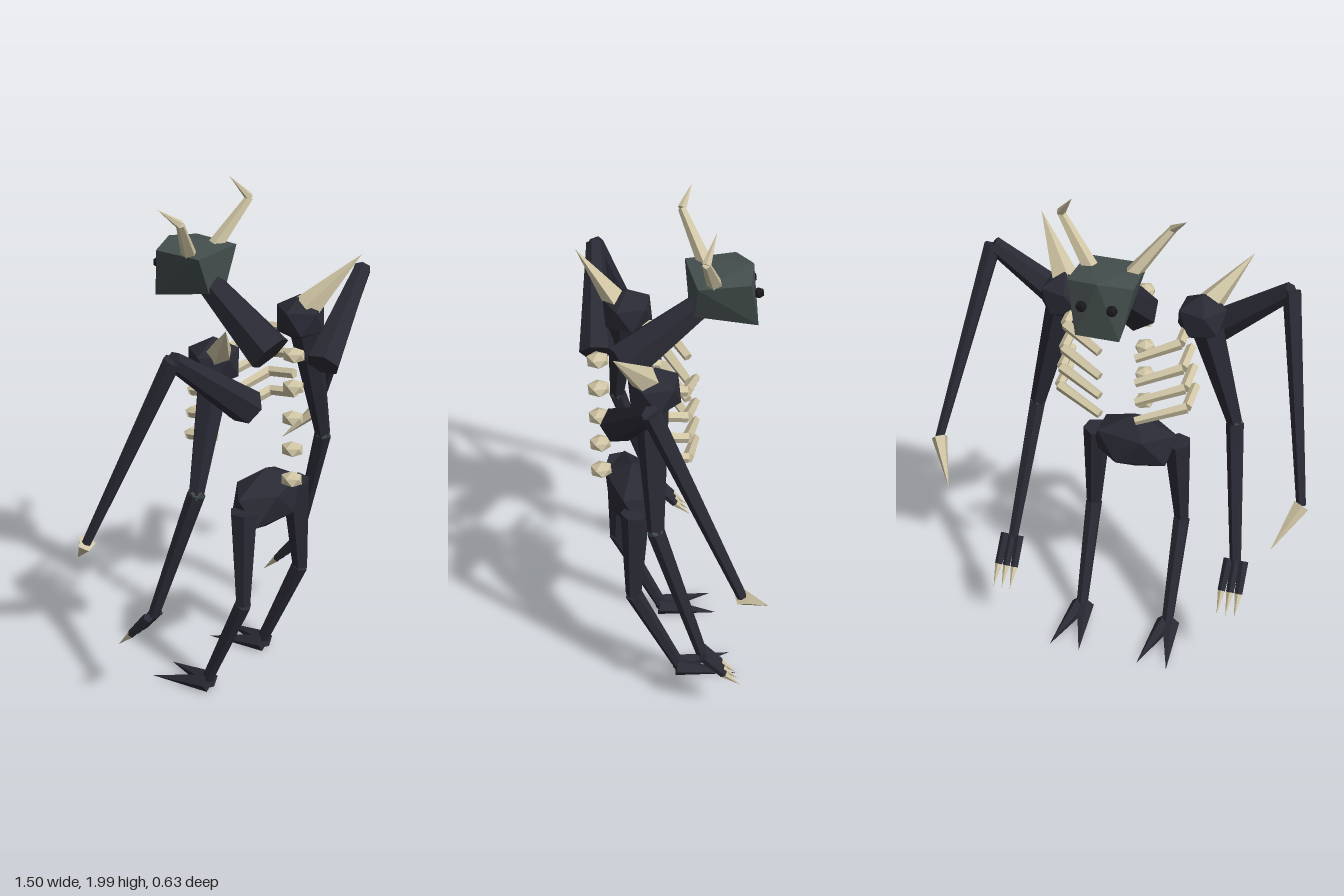
import * as THREE from 'three';
import { ConvexGeometry } from 'three/addons/geometries/ConvexGeometry.js';

const mat = (name, color) => {
  const m = new THREE.MeshStandardMaterial({ color, flatShading: true });
  m.name = name;
  return m;
};

export function createModel() {
  const hide = mat('dark hide', 0x2a2a35);
  const skull = mat('grey green skull', 0x444f4d);
  const bone = mat('bone', 0xcfc4a4);
  const black = mat('eye black', 0x19181d);
  const model = new THREE.Group();
  const V = (p) => new THREE.Vector3(...p);
  const Y = new THREE.Vector3(0, 1, 0);

  const add = (name, geo, material, parent = model) => {
    const mesh = new THREE.Mesh(geo, material);
    mesh.name = name;
    parent.add(mesh);
    return mesh;
  };
  // Tapered segment between two points; r1 = 0 gives a spike
  const limb = (name, a, b, r0, r1, material, parent, sides = 6) => {
    const from = V(a), dir = V(b).sub(from), len = dir.length();
    const geo = new THREE.CylinderGeometry(r1, r0, len, sides);
    geo.translate(0, len / 2, 0);
    const mesh = add(name, geo, material, parent);
    mesh.position.copy(from);
    mesh.quaternion.setFromUnitVectors(Y, dir.normalize());
    return mesh;
  };
  // Icosahedron with a vertex at the top, stretched per axis
  const knob = (name, p, r, material, parent) => {
    const geo = new THREE.IcosahedronGeometry(1, 0);
    geo.rotateZ(Math.atan(2 / (1 + Math.sqrt(5))));
    geo.scale(...r);
    const mesh = add(name, geo, material, parent);
    mesh.position.set(...p);
    return mesh;
  };
  const group = (name) => {
    const g = new THREE.Group();
    g.name = name;
    model.add(g);
    return g;
  };

  // Pelvis, floating spine and neck
  knob('pelvis', [0, 0.83, 0.165], [0.192, 0.125, 0.112], hide);
  const spine = group('spine');
  for (let i = 0; i < 5; i++) {
    knob('vertebra', [0, 0.942 + i * 0.1245, 0.283], [0.042, 0.031, 0.045], bone, spine);
  }
  limb('neck', [0, 1.42, 0.18], [0, 1.63, -0.1], 0.085, 0.05, hide);

  // Head: wide brow, narrow jaw
  const headPoints = [[0, 1.775, -0.287]];
  for (const s of [-1, 1]) {
    headPoints.push([s * 0.112, 1.757, -0.06], [s * 0.12, 1.757, -0.25],
      [s * 0.05, 1.61, -0.062], [s * 0.08, 1.565, -0.29]);
  }
  add('head', new ConvexGeometry(headPoints.map(V)), skull);

  for (const s of [-1, 1]) {
    const side = s > 0 ? 'left' : 'right';

    knob(side + 'Eye', [s * 0.055, 1.685, -0.293], [0.022, 0.022, 0.022], black);

    // Horn with a bent tip
    const horn = group(side + 'Horn');
    const bend = [s * 0.203, 1.91, -0.068];
    limb('hornBase', [s * 0.075, 1.745, -0.13], bend, 0.03, 0.015, bone, horn, 5);
    limb('hornTip', bend, [s * 0.205 - 0.06, s > 0 ? 1.995 : 1.97, -0.117], 0.017, 0, bone, horn, 5);

    // Shoulder and its spike
    knob(side + 'Shoulder', [s * 0.265, 1.465, 0.125], [0.102, 0.095, 0.105], hide);
    limb(side + 'ShoulderSpike', [s * 0.27, s > 0 ? 1.51 : 1.49, 0.15],
      [s * 0.413, s > 0 ? 1.71 : 1.665, 0.293], 0.055, 0, bone, model, 5);

    // Ribs: a side piece and a front piece each
    const ribs = group(side + 'Ribs');
    [1.415, 1.31, 1.225, 1.142].forEach((y, i) => {
      const x = 0.22 + i * 0.01;
      const joint = [s * x, y, 0];
      limb('ribSide', [s * x, y + 0.02, 0.12], joint, 0.02, 0.02, bone, ribs, 5);
      limb('ribFront', joint, [s * 0.068, y - 0.055, -0.065], 0.022, 0.017, bone, ribs, 5);
    });

    // Long clawed limb growing from the back
    const back = group(side + 'BackLimb');
    const top = [s * 0.575, 1.59, 0.195], wrist = [s * 0.72, 0.865, -0.095];
    limb('backLimbUpper', [s * 0.235, 1.315, 0.25], top, 0.068, 0.033, hide, back);
    limb('backLimbLower', top, wrist, 0.034, 0.018, hide, back);
    limb('backLimbClaw', wrist, [s * 0.64, 0.727, -0.217], 0.032, 0, bone, back, 5);

    // Arm; the model's left one hangs lower
    const arm = group(side + 'Arm');
    const drop = s > 0 ? 0.1 : 0;
    const elbow = [s * 0.4, 1.005 - drop * 0.65, 0.15];
    const hand = [s * 0.465, 0.47 - drop, -0.01];
    limb('upperArm', [s * 0.28, 1.42, 0.14], elbow, 0.062, 0.03, hide, arm);
    knob('elbow', elbow, [0.034, 0.03, 0.034], skull, arm);
    limb('forearm', elbow, hand, 0.034, 0.022, hide, arm);
    for (let i = -1; i <= 1; i++) {
      const x = s * 0.468 + i * 0.03;
      const tip = [x + i * 0.004, 0.375 - drop, -0.09];
      limb('finger', [x, 0.475 - drop, -0.01], tip, 0.02, 0.016, hide, arm, 5);
      limb('fingerClaw', tip, [x + i * 0.005, 0.305 - drop, -0.155], 0.015, 0, bone, arm, 5);
    }

    // Leg with a forked foot
    const leg = group(side + 'Leg');
    const knee = [s * 0.187, 0.46, 0.2], ankle = [s * 0.185, 0.055, 0.025];
    limb('thigh', [s * 0.165, 0.845, 0.185], knee, 0.055, 0.03, hide, leg);
    limb('shin', knee, ankle, 0.034, 0.024, hide, leg);
    for (const t of [-1, 1]) {
      limb('toe', [s * 0.185 + t * 0.01, 0.04, 0.03], [s * 0.185 + t * 0.062, 0.006, -0.205],
        0.038, 0, hide, leg, 5);
    }
  }
  return model;
}
